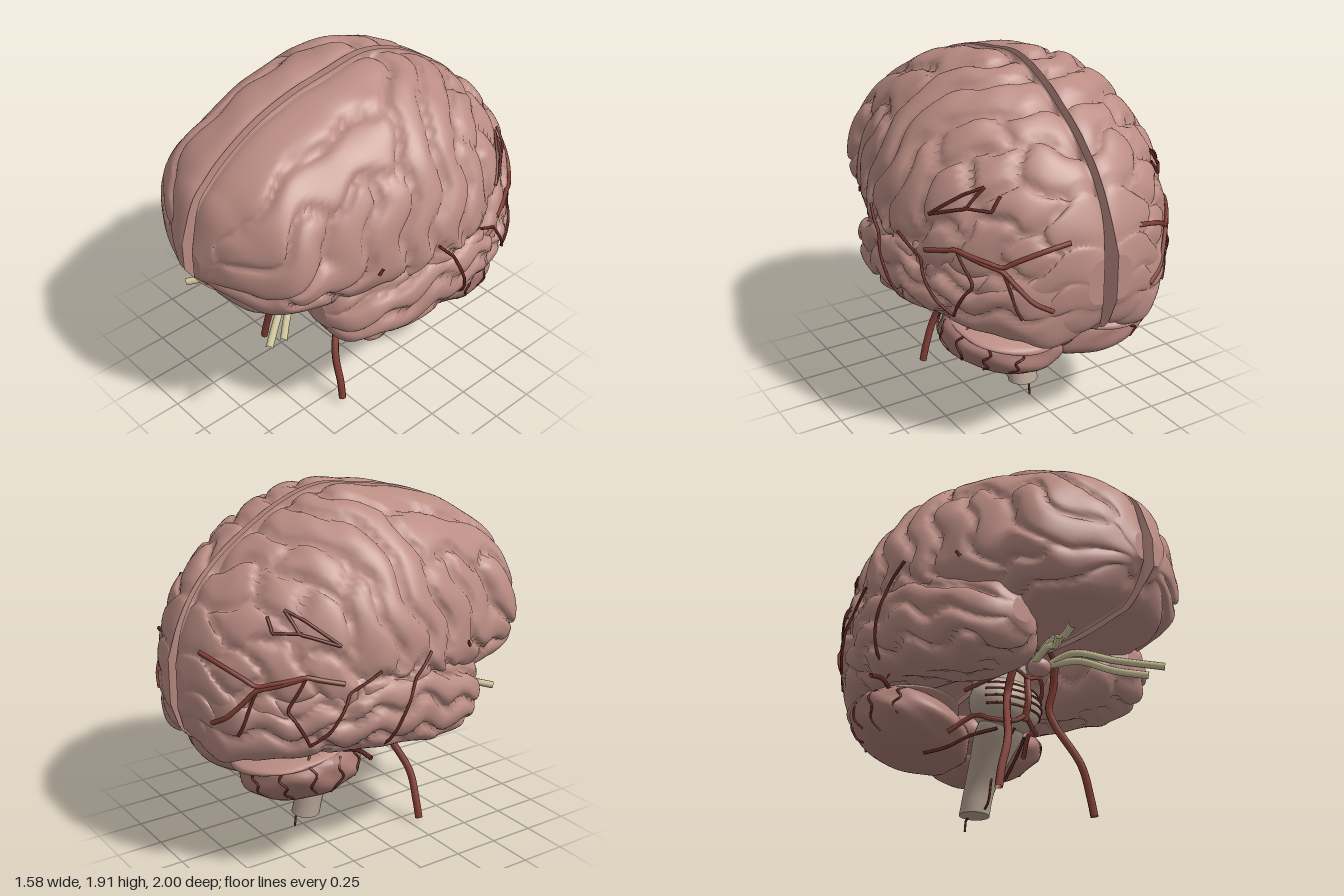
import * as THREE from 'three';

const mat = (name, color, side = THREE.FrontSide) => {
  const m = new THREE.MeshStandardMaterial({ color, side });
  m.name = name;
  return m;
};
const V = (x, y, z) => new THREE.Vector3(x, y, z);
const RAD = Math.PI / 180;

// Cross-sections along z: z, inner x, centre x, outer x, centre y, top y, bottom y
const CEREBRUM = [
  [-1.0, .04, .04, .13, 1.0, 1.12, .88], [-.96, .025, .025, .25, 1.0, 1.27, .75],
  [-.89, .02, .02, .37, 1.02, 1.42, .69], [-.77, .02, .02, .5, 1.05, 1.57, .68],
  [-.55, .02, .02, .65, 1.08, 1.74, .69], [-.34, .02, .02, .73, 1.1, 1.855, .76],
  [-.13, .02, .02, .765, 1.12, 1.91, .82], [.1, .02, .02, .73, 1.14, 1.885, .84],
  [.34, .02, .02, .66, 1.15, 1.845, .84], [.55, .02, .02, .59, 1.17, 1.775, .85],
  [.77, .02, .02, .53, 1.18, 1.645, .89], [.85, .02, .02, .42, 1.18, 1.575, .91],
  [.94, .025, .025, .26, 1.18, 1.46, 1.0], [1.0, .04, .04, .1, 1.17, 1.25, 1.09],
];
const TEMPORAL = [
  [-.96, .05, .12, .2, .9, 1.0, .8], [-.92, .04, .2, .33, .92, 1.05, .69],
  [-.8, .05, .28, .48, .92, 1.05, .68], [-.6, .1, .38, .65, .93, 1.1, .69],
  [-.4, .15, .45, .74, .95, 1.15, .7], [-.2, .18, .48, .77, .97, 1.2, .69],
  [0, .17, .47, .765, .96, 1.2, .66], [.2, .16, .45, .73, .9, 1.12, .62],
  [.4, .18, .42, .66, .86, 1.04, .65], [.5, .26, .42, .58, .85, .98, .71],
  [.54, .37, .43, .49, .85, .91, .79],
];
// Centre lines of the folds: pairs of z and angle round the section
const CEREBRUM_FOLDS = [
  [.98, 20, .9, 68, .6, 72, .25, 74, -.08, 76], [.92, 28, .75, 42, .5, 48, .1, 54],
  [.94, -5, .78, 10, .62, 26], [.66, -22, .5, 2, .4, 26], [.4, -22, .3, 5, .22, 28],
  [.9, -40, .75, -34, .6, -40], [.85, -70, .5, -65, .2, -60],
  [-.26, 80, -.14, 62, -.02, 42, .07, 22, .1, 2], [-.44, 80, -.3, 62, -.18, 42, -.1, 22, -.06, 4],
  [-.62, 78, -.56, 68], [-.5, 58, -.38, 46], [-.68, 52, -.58, 44],
  [-.27, 30, -.33, 16, -.24, 4], [-.46, 32, -.52, 20], [-.5, 5, -.42, 0], [-.8, 76, -.74, 62],
  [-.82, 48, -.76, 34], [-.72, 20, -.66, 4], [-.93, 66, -.9, 45], [-.88, 26, -.84, 12],
  [-.98, 20, -.92, 0, -.82, -8], [-.97, -25, -.85, -24, -.68, -20],
  [-.92, -60, -.7, -55, -.4, -50], [-.3, -20, 0, -20],
];
const TEMPORAL_FOLDS = [
  [.5, 55, .2, 52, -.1, 55, -.35, 50], [.52, 5, .3, 14, 0, 16, -.35, 12], [.48, -45, .2, -25, -.1, -22, -.45, -28],
  [.3, -70, 0, -62, -.4, -68], [.3, 180, 0, 180, -.5, 180], [-.5, 35, -.7, 40], [-.55, -5, -.9, 0],
  [-.65, -45, -.9, -40], [.3, 110, -.4, 110], [.3, 240, -.5, 240],
];

function sampler(table) {
  const f = new THREE.CubicInterpolant(new Float32Array(table.map(r => r[0])),
    new Float32Array(table.flatMap(r => r.slice(1))), 6);
  return z => Array.from(f.evaluate(z));
}

function surfacePoint(section, z, a) {
  const [xi, xc, xo, yc, top, bot] = section(z), c = Math.cos(a), s = Math.sin(a);
  const p = Math.pow(Math.abs(c), s < 0 ? .6 : xc - xi > .01 ? .7 : 1);
  return V(c > 0 ? xc + (xo - xc) * p : xc - (xc - xi) * p, yc + s * (s > 0 ? top - yc : yc - bot), z);
}

// Folded lobe: a loft pinched wherever two fold centre lines are equally near
function lobe(table, folds, nz, na, side) {
  const section = sampler(table), z0 = table[0][0], z1 = table[table.length - 1][0];
  const lines = folds.map(f => {
    const pts = [];
    for (let i = 0; i + 3 < f.length; i += 2) {
      for (let k = 0; k <= 8; k++) {
        const t = k / 8;
        pts.push(surfacePoint(section, f[i] + (f[i + 2] - f[i]) * t, (f[i + 1] + (f[i + 3] - f[i + 1]) * t) * RAD));
      }
    }
    return pts;
  });
  const pos = [], idx = [];
  const tri = (a, b, c) => (side > 0 ? idx.push(a, b, c) : idx.push(a, c, b));
  for (let i = 0; i <= nz; i++) {
    const z = z0 + (z1 - z0) * (1 - Math.cos(Math.PI * i / nz)) / 2;
    const [xi, xc] = section(z);
    for (let j = 0; j < na; j++) {
      const a = -Math.PI / 2 + j / na * Math.PI * 2, p = surfacePoint(section, z, a);
      const wall = xc - xi < .001;
      if (!wall || Math.cos(a) > -1e-6) {
        // Wavering of the fold lines
        const q = V(p.x + .04 * Math.sin(21 * z + 5 * p.y), p.y + .035 * Math.sin(22 * z + 6 * p.x),
          z + .04 * Math.sin(20 * p.y + 15 * p.x));
        let f1 = 9, f2 = 9;
        for (const l of lines) {
          let d = 9;
          for (const v of l) d = Math.min(d, v.distanceToSquared(q));
          d = Math.sqrt(d);
          if (d < f1) { f2 = f1; f1 = d; } else if (d < f2) f2 = d;
        }
        const push = .008 - .055 * Math.exp(-(f2 - f1) / .035) + .006 * Math.sin(17 * z + 11 * p.y) * Math.sin(19 * p.x + 7 * z);
        const endFade = Math.min(1, Math.min(z - z0, z1 - z) / .08 + .2);
        const rounding = wall ? .03 * Math.exp(-(p.x - xi) / .04) : 0;
        p.x = Math.max(.018, p.x + Math.cos(a) * push * endFade);
        p.y += Math.sin(a) * (push - rounding) * endFade;
      }
      pos.push(p.x * side, p.y, p.z);
    }
  }
  for (let i = 0; i < nz; i++) for (let j = 0; j < na; j++) {
    const a = i * na + j, b = i * na + (j + 1) % na;
    tri(a, b, a + na);
    tri(b, b + na, a + na);
  }
  for (const [row, z] of [[0, z0], [nz, z1]]) {
    const s = section(z), c = pos.length / 3;
    pos.push((s[0] + s[2]) / 2 * side, s[3], z);
    for (let j = 0; j < na; j++) {
      const a = row * na + j, b = row * na + (j + 1) % na;
      row ? tri(a, b, c) : tri(b, a, c);
    }
  }
  const g = new THREE.BufferGeometry();
  g.setAttribute('position', new THREE.Float32BufferAttribute(pos, 3));
  g.setIndex(idx);
  g.computeVertexNormals();
  return g;
}

const tube = (pts, r, n = pts.length * 5) =>
  new THREE.TubeGeometry(new THREE.CatmullRomCurve3(pts.map(p => (p.isVector3 ? p : V(...p)))), n, r, 7);

export function createModel() {
  const group = new THREE.Group();
  const cortex = mat('cortex pink', 0xbb8d84), hind = mat('cerebellum pink', 0xab7d75);
  const stem = mat('brainstem tan', 0xb5a393), nerve = mat('nerve cream', 0xcfc59c);
  const artery = mat('artery red', 0x843f36, THREE.DoubleSide), vein = mat('small vessel red', 0x672b25, THREE.DoubleSide);
  const add = (name, geo, m, parent = group) => {
    const mesh = new THREE.Mesh(geo, m);
    mesh.name = name;
    parent.add(mesh);
    return mesh;
  };
  const ball = (name, m, p, r, lump = 0) => {
    const g = new THREE.SphereGeometry(1, 40, 30), a = g.attributes.position;
    for (let i = 0; i < a.count; i++) {
      const k = 1 + lump * Math.sin(7 * a.getY(i) + 2 * a.getZ(i)) * Math.cos(6 * a.getZ(i));
      a.setXYZ(i, a.getX(i) * k, a.getY(i) * k, a.getZ(i) * k);
    }
    g.scale(...r);
    g.computeVertexNormals();
    const mesh = add(name, g, m);
    mesh.position.set(...p);
    return mesh;
  };

  // Surface vessels as z, y pairs laid over the outer side
  const sections = [CEREBRUM, TEMPORAL].map(t => [sampler(t), t]);
  const outerX = (z, y) => Math.max(...sections.map(([s, t], k) => {
    if (z < t[0][0] || z > t[t.length - 1][0]) return .03;
    const [, xc, xo, yc, top, bot] = s(z), v = (y - yc) / (y > yc ? top - yc : yc - bot);
    return xc + (xo - xc) * Math.pow(Math.max(0, 1 - v * v), y < yc ? .3 : k ? .35 : .5);
  }));
  const surfaceVessels = [
    [.03, 1.19, -.07, 1.08, -.15, .9, -.22, .7], [-.27, 1.15, -.42, 1.06, -.53, .87, -.6, .8],
    [-.45, 1.11, -.61, 1.15, -.8, 1.1, -.95, 1.22], [-.61, 1.15, -.8, 1.08, -.94, .88],
    [-.8, 1.08, -.87, .84], [-.61, 1.15, -.69, .98, -.6, .8], [-.45, 1.29, -.61, 1.35, -.64, 1.45],
    [-.45, 1.29, -.58, 1.41, -.64, 1.45], [-.6, 1.35, -.71, 1.35, -.71, 1.42], [-.22, .7, -.42, .7],
    [.35, 1.13, .33, 1.16],
  ];

  for (const s of [1, -1]) {
    const n = s > 0 ? 'left' : 'right';
    const flip = pts => pts.map(([x, y, z]) => [x * s, y, z]);
    add(n + 'Hemisphere', lobe(CEREBRUM, CEREBRUM_FOLDS, 120, 140, s), cortex);
    add(n + 'TemporalLobe', lobe(TEMPORAL, TEMPORAL_FOLDS, 76, 72, s), cortex);
    surfaceVessels.forEach((f, k) => {
      const pts = [];
      for (let i = 0; i + 3 < f.length; i += 2) for (let j = i ? 1 : 0; j <= 4; j++) {
        const z = f[i] + (f[i + 2] - f[i]) * j / 4, y = f[i + 1] + (f[i + 3] - f[i + 1]) * j / 4;
        pts.push(V((outerX(z, y) + .01) * s, y, z));
      }
      const main = k === 2 || k === 3;
      add(n + 'SurfaceVessel', tube(pts, main ? .012 : .008, pts.length * 2), main ? artery : vein);
    });

    // Cerebellum, outer edge tilted up, with its upper rim and vessels
    const half = ball(n + 'Cerebellum', hind, [.275 * s, .52, -.44], [.335, .165, .31], .04);
    half.rotation.z = .3 * s;
    const rim = ball(n + 'CerebellumRim', cortex, [.28 * s, .635, -.5], [.29, .05, .32], .02);
    rim.rotation.set(-.12, 0, .08 * s);
    for (const [t, e0, e1] of [[-.7, .5, -.5], [-.2, .3, -.9], [.3, .6, -.7], [.8, .2, -.8], [1.3, .3, -.6]]) {
      const pts = [0, 1, 2, 3, 4].map(i => {
        const e = e0 + (e1 - e0) * i / 4, u = t + (i % 2) * .1, c = Math.cos(e);
        return [.34 * c * Math.cos(u), .17 * Math.sin(e), -.316 * c * Math.sin(u)];
      });
      add(n + 'CerebellumVessel', tube(flip(pts), .006), vein, half);
    }

    // Nerves running forward
    add(n + 'OuterNerve', tube(flip([[.04, .78, .25], [.09, .83, .4], [.2, .76, .6], [.35, .71, .8]]), .02), nerve);
    add(n + 'InnerNerve', tube(flip([[.05, .79, .28], [.12, .79, .42], [.22, .72, .57], [.34, .69, .7]]), .02), nerve);
    add(n + 'NerveTract', tube(flip([[.03, .8, .25], [.2, .86, .3], [.38, .87, .36]]), .014), nerve);

    // Neck arteries and the ring under the brain
    add(n + 'NeckArtery', tube(flip([[.345, .025, .3], [.325, .12, .295], [.27, .29, .285], [.18, .51, .19], [.155, .6, .17],
      [.155, .7, .2], [.13, .82, .24]]), .021), artery);
    add(n + 'MiddleArtery', tube(flip([[.02, .86, .3], [.13, .83, .26], [.25, .86, .28], [.38, .87, .3]]), .013), artery);
    add(n + 'RearArtery', tube(flip([[0, .73, .17], [.1, .76, .16], [.19, .7, .08], [.24, .66, -.06]]), .011), artery);
    add(n + 'VertebralArtery', tube(flip([[0, .53, .15], [.06, .49, .13], [.17, .49, .06], [.2, .52, -.02], [.28, .44, -.14]]), .013), artery);
    add(n + 'LowerVessel', tube(flip([[.1, .46, .04], [.18, .43, -.08], [.24, .38, -.2], [.3, .36, -.3]]), .009), vein);
    for (const y of [.57, .61, .65, .69]) {
      add(n + 'PonsVessel', tube(flip([0, .4, .8, 1.2].map(t => {
        const r = Math.sqrt(1 - ((y - .62) / .15) ** 2);
        return [.222 * r * Math.sin(t), y, .163 * r * Math.cos(t)];
      })), .006), vein);
    }
  }
  // Small vessel on the right underside
  add('undersideVessel', tube([[-.5, .67, -.35], [-.6, .69, -.3], [-.69, .675, -.28]], .012), vein);

  // Middle of the cerebellum
  ball('cerebellumMiddle', hind, [0, .54, -.42], [.14, .13, .25]);

  // Brainstem: cylinder bent and widened by height
  const medulla = new THREE.CylinderGeometry(1, 1, 1, 24, 16), mp = medulla.attributes.position;
  const profile = new THREE.CubicInterpolant(new Float32Array([0, .25, .55, .8, 1]),
    new Float32Array([-.23, .085, .075, -.195, .088, .072, -.12, .115, .085, -.05, .145, .1, 0, .13, .1]), 3);
  for (let i = 0; i < mp.count; i++) {
    const t = mp.getY(i) + .5, [zc, rx, rz] = profile.evaluate(t);
    const x = mp.getX(i), z = mp.getZ(i);
    mp.setXYZ(i, x * rx, .07 + t * .5, zc + z * rz);
  }
  medulla.computeVertexNormals();
  add('medulla', medulla, stem);
  ball('pons', stem, [0, .62, 0], [.22, .15, .16]);
  const midbrain = add('midbrain', new THREE.CylinderGeometry(.13, .16, .4, 24), stem);
  midbrain.position.set(0, .82, -.04);
  add('spinalVessel', tube([[0, 0, -.3], [0, .07, -.285], [0, .1, -.14], [0, .3, -.085], [0, .48, .07]], .006), vein);
  add('basilarArtery', tube([[0, .5, .14], [0, .6, .168], [0, .68, .165], [0, .75, .16]], .018), artery);
  ball('pituitary', cortex, [0, .77, .25], [.065, .05, .06]);

  // Bridge between the hemispheres, with the dark pink fold behind it
  const bridge = tube([[0, 1.03, .4], [0, 1.17, .52], [0, 1.31, .38], [0, 1.34, .05], [0, 1.3, -.25], [0, 1.2, -.36]], .05, 40);
  bridge.computeVertexNormals();
  add('bridgeBetweenHemispheres', bridge, stem);
  add('foldBehindBridge', tube([[0, 1.25, -.36], [0, 1.2, -.5], [0, 1.05, -.62]], .04), hind);
  return group;
}
